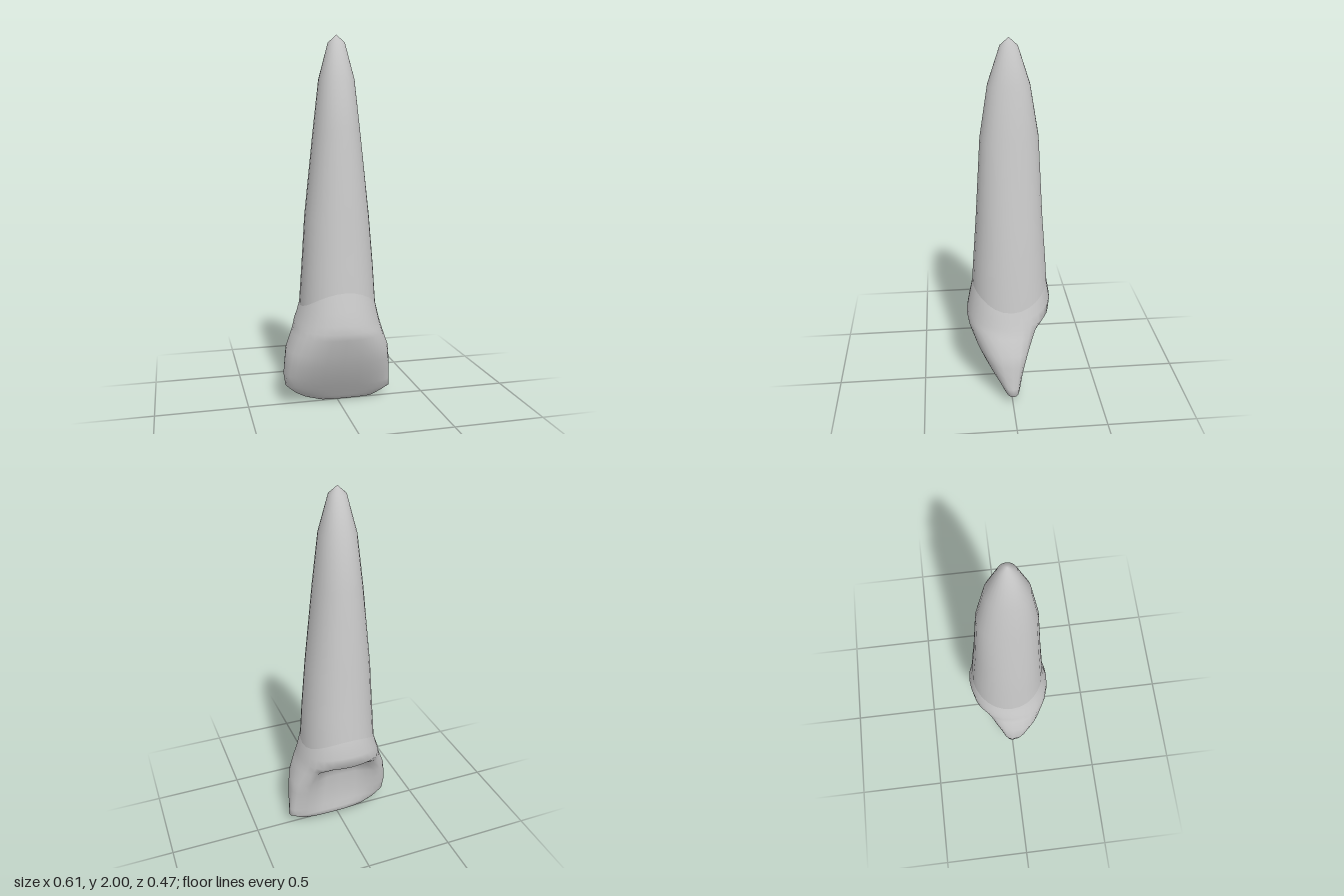
import * as THREE from 'three';

const SIDES = 28;

// Lofts closed cross-sections from top to bottom, closing both ends with a point.
// Ring: [y, xMin, xMax, zFront, zBack, squareness, hollow depth, lift of front and back]
function loft(rings, topY, bottomPoint) {
  const pos = [], index = [];
  const power = (v, n) => Math.sign(v) * Math.abs(v) ** (2 / n);
  for (const [y, x0, x1, zf, zb, n = 2.1, hollow = 0, lift = 0] of rings) {
    for (let i = 0; i < SIDES; i++) {
      const a = (i / SIDES) * Math.PI * 2;
      const u = power(Math.cos(a), n), s = power(Math.sin(a), n);
      let z = s > 0 ? s * zf : -s * zb;
      if (s < 0) z += hollow * Math.exp(-((u / 0.6) ** 4)) * Math.min(1, -s * 1.5);
      pos.push((x0 + x1) / 2 + u * (x1 - x0) / 2, y + lift * Math.sin(a) ** 2, z);
    }
  }
  for (let r = 0; r < rings.length - 1; r++) {
    for (let i = 0; i < SIDES; i++) {
      const j = (i + 1) % SIDES, p = r * SIDES, q = p + SIDES;
      index.push(p + i, p + j, q + i, p + j, q + j, q + i);
    }
  }
  const fan = (point, start, up) => {
    const c = pos.length / 3;
    pos.push(...point);
    for (let i = 0; i < SIDES; i++) {
      const j = (i + 1) % SIDES;
      index.push(c, start + (up ? j : i), start + (up ? i : j));
    }
  };
  if (topY !== undefined) fan([-0.005, topY, 0], 0, true);
  if (bottomPoint) fan(bottomPoint, (rings.length - 1) * SIDES, false);
  const g = new THREE.BufferGeometry();
  g.setAttribute('position', new THREE.Float32BufferAttribute(pos, 3));
  g.setIndex(index);
  g.computeVertexNormals();
  return g;
}

export function createModel() {
  const group = new THREE.Group();
  group.name = 'tooth';
  const material = new THREE.MeshStandardMaterial({ color: 0xcccccc, side: THREE.DoubleSide });
  const add = (name, geometry) => {
    const mesh = new THREE.Mesh(geometry, material);
    mesh.name = name;
    group.add(mesh);
  };

  // Long tapering root
  add('root', loft([
    [1.96, -0.05, 0.04, 0.045, -0.045],
    [1.77, -0.1, 0.09, 0.108, -0.108],
    [1.5, -0.13, 0.12, 0.15, -0.155],
    [1.05, -0.178, 0.17, 0.178, -0.183],
    [0.78, -0.195, 0.193, 0.195, -0.202, 2.1, 0, 0.04],
    [0.56, -0.21, 0.208, 0.206, -0.213, 2.1, 0, 0.1],
  ], 2));

  // Crown: bulging neck, hollow back with raised rims, thin biting edge
  add('crown', loft([
    [0.56, -0.21, 0.208, 0.206, -0.213, 2.1, 0, 0.1],
    [0.51, -0.225, 0.22, 0.226, -0.231, 2.1, 0, 0.05],
    [0.47, -0.24, 0.23, 0.238, -0.235, 2.1, 0.01, 0.02],
    [0.445, -0.245, 0.237, 0.24, -0.212, 2.2, 0.05],
    [0.41, -0.255, 0.247, 0.233, -0.185, 2.4, 0.11],
    [0.32, -0.29, 0.28, 0.2, -0.132, 2.6, 0.075],
    [0.25, -0.298, 0.288, 0.167, -0.105, 2.7, 0.055],
    [0.18, -0.305, 0.294, 0.13, -0.083, 2.7, 0.04],
    [0.11, -0.295, 0.299, 0.086, -0.066, 2.7, 0.022],
    [0.065, -0.245, 0.303, 0.056, -0.055, 2.6, 0.008],
    [0.035, -0.19, 0.255, 0.037, -0.046, 2.4],
    [0.008, -0.1, 0.2, 0.018, -0.015, 2.2],
  ], undefined, [0.05, 0, 0]));

  return group;
}
